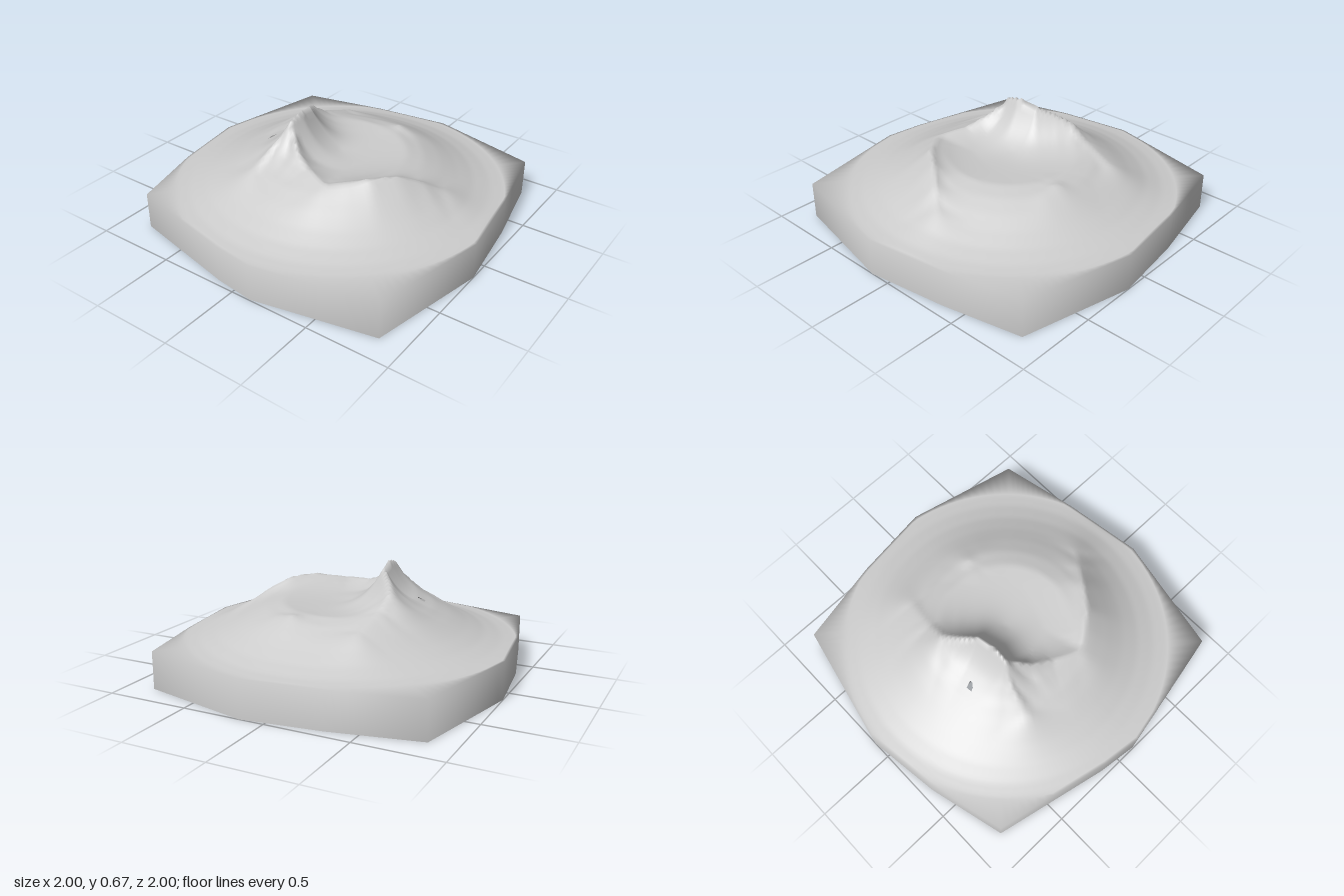
import * as THREE from 'three';

const RIM_Y = 0.225, STEPS = 12, RINGS = 48;

// Plan outline of the base, as [x, z]
const outline = [
  [-0.84, -0.83], [-0.32, -0.94], [0.15, -1], [0.83, -0.84], [0.93, -0.36], [1, 0.13],
  [0.85, 0.85], [0.12, 0.995], [-0.12, 0.965], [-0.82, 0.81], [-0.94, 0.34], [-1, -0.11],
];

// General height of the hill by radius, as [radius, y]
const slope = [[0, 0.4], [0.25, 0.415], [0.4, 0.425], [0.5, 0.4], [0.6, 0.357], [0.7, 0.308],
  [0.8, 0.265], [0.9, 0.236], [0.98, RIM_Y], [2, RIM_Y]];

// Ridges: width of the flank and crest points [x, z, y]
const ridges = [
  { w: 0.12, pts: [[-0.2, 0.21, 0.65], [-0.2, 0.12, 0.675], [-0.22, 0, 0.65], [-0.29, -0.09, 0.605],
    [-0.34, -0.17, 0.56], [-0.33, -0.3, 0.47], [-0.3, -0.5, 0.4]] },           // summit and west arm
  { w: 0.09, pts: [[-0.2, 0.2, 0.64], [-0.08, 0.3, 0.53], [0.03, 0.35, 0.48], [0.2, 0.42, 0.46]] }, // saddle
  { w: 0.08, pts: [[-0.2, 0.2, 0.64], [-0.25, 0.3, 0.53], [-0.28, 0.46, 0.42]] }, // front spur
  { w: 0.1, pts: [[0.2, 0.42, 0.46], [0.3, 0.35, 0.48], [0.4, 0.27, 0.498], [0.5, 0.14, 0.487],
    [0.58, 0.04, 0.43], [0.66, -0.06, 0.36]] },                                  // east crater rim
  { w: 0.07, pts: [[0.06, -0.43, 0.42], [0.13, -0.46, 0.435], [0.2, -0.44, 0.42]] }, // small back knoll
];

function baseHeight(r) {
  const i = slope.findIndex((p) => p[0] > r);
  const [a, b] = [slope[i - 1], slope[i]];
  return THREE.MathUtils.lerp(a[1], b[1], (r - a[0]) / (b[0] - a[0]));
}

function height(x, z) {
  const base = baseHeight(Math.hypot(x, z));
  let rise = 0;
  for (const { w, pts } of ridges) {
    for (let i = 0; i + 1 < pts.length; i++) {
      const [ax, az, ah] = pts[i], [bx, bz, bh] = pts[i + 1];
      const dx = bx - ax, dz = bz - az;
      const t = THREE.MathUtils.clamp(((x - ax) * dx + (z - az) * dz) / (dx * dx + dz * dz), 0, 1);
      const d = Math.hypot(x - ax - dx * t, z - az - dz * t);
      const top = ah + (bh - ah) * t;
      rise = Math.max(rise, (top - base) * Math.exp(-d / w - (d / 0.3) ** 2));
    }
  }
  return base + rise;
}

// Rim points with outward normals blended between the outline corners
function rimPoints() {
  const n = outline.length;
  const edgeNormal = (i) => {
    const a = outline[(i + n) % n], b = outline[(i + 1 + n) % n];
    return new THREE.Vector3(b[1] - a[1], 0, a[0] - b[0]).normalize();
  };
  const cornerNormal = (i) => edgeNormal(i - 1).add(edgeNormal(i)).normalize();
  const rim = [];
  for (let i = 0; i < n; i++) {
    const a = outline[i], b = outline[(i + 1) % n];
    for (let s = 0; s < STEPS; s++) {
      const t = s / STEPS;
      rim.push({
        x: a[0] + (b[0] - a[0]) * t,
        z: a[1] + (b[1] - a[1]) * t,
        normal: cornerNormal(i).lerp(cornerNormal(i + 1), t).setY(0.25).normalize(),
      });
    }
  }
  return rim;
}

function makeGeometry(positions, index) {
  const g = new THREE.BufferGeometry();
  g.setAttribute('position', new THREE.Float32BufferAttribute(positions, 3));
  g.setIndex(index);
  g.computeVertexNormals();
  return g;
}

// Hill: rings of vertices from the centre to the rim
function hillGeometry(rim) {
  const n = rim.length, pos = [0, height(0, 0), 0], index = [];
  for (let k = 1; k <= RINGS + 1; k++) {
    for (const p of rim) {
      const full = Math.hypot(p.x, p.z);
      const r = k > RINGS ? full : Math.min(0.99, full - 0.015) * (k / RINGS);
      const x = p.x / full * r, z = p.z / full * r;
      pos.push(x, k > RINGS ? RIM_Y : height(x, z), z);
    }
  }
  const tri = (a, b, c) => {
    const mid = (o) => (pos[a * 3 + o] + pos[b * 3 + o] + pos[c * 3 + o]) / 3;
    // Leave a small vent open in the west flank
    if (Math.hypot(mid(0) + 0.41, mid(2) - 0.13) > 0.018) index.push(a, b, c);
  };
  for (let i = 0; i < n; i++) {
    const j = (i + 1) % n;
    tri(0, 1 + j, 1 + i);
    for (let k = 0; k < RINGS; k++) {
      const a = 1 + k * n, b = a + n;
      tri(a + i, a + j, b + i);
      tri(a + j, b + j, b + i);
    }
  }
  const g = makeGeometry(pos, index);
  // Rim shares its soft normals with the wall
  rim.forEach((p, i) => g.attributes.normal.setXYZ(1 + RINGS * n + i, p.normal.x, p.normal.y, p.normal.z));
  return g;
}

// Wall: upright band under the rim, open at the bottom
function wallGeometry(rim) {
  const n = rim.length, pos = [], index = [];
  for (const y of [RIM_Y, 0]) for (const p of rim) pos.push(p.x, y, p.z);
  for (let i = 0; i < n; i++) {
    const j = (i + 1) % n;
    index.push(i, j, n + i, j, n + j, n + i);
  }
  const g = makeGeometry(pos, index);
  rim.forEach(({ normal }, i) => {
    const flat = normal.clone().setY(0).normalize();
    g.attributes.normal.setXYZ(i, normal.x, normal.y, normal.z);
    g.attributes.normal.setXYZ(n + i, flat.x, flat.y, flat.z);
  });
  return g;
}

export function createModel() {
  const group = new THREE.Group();
  group.name = 'mountainTerrain';
  const stone = new THREE.MeshStandardMaterial({ color: 0xcccccc, side: THREE.DoubleSide });
  stone.name = 'paleStone';
  const rim = rimPoints();
  const hill = new THREE.Mesh(hillGeometry(rim), stone);
  hill.name = 'hill';
  const wall = new THREE.Mesh(wallGeometry(rim), stone);
  wall.name = 'baseWall';
  group.add(hill, wall);
  return group;
}
